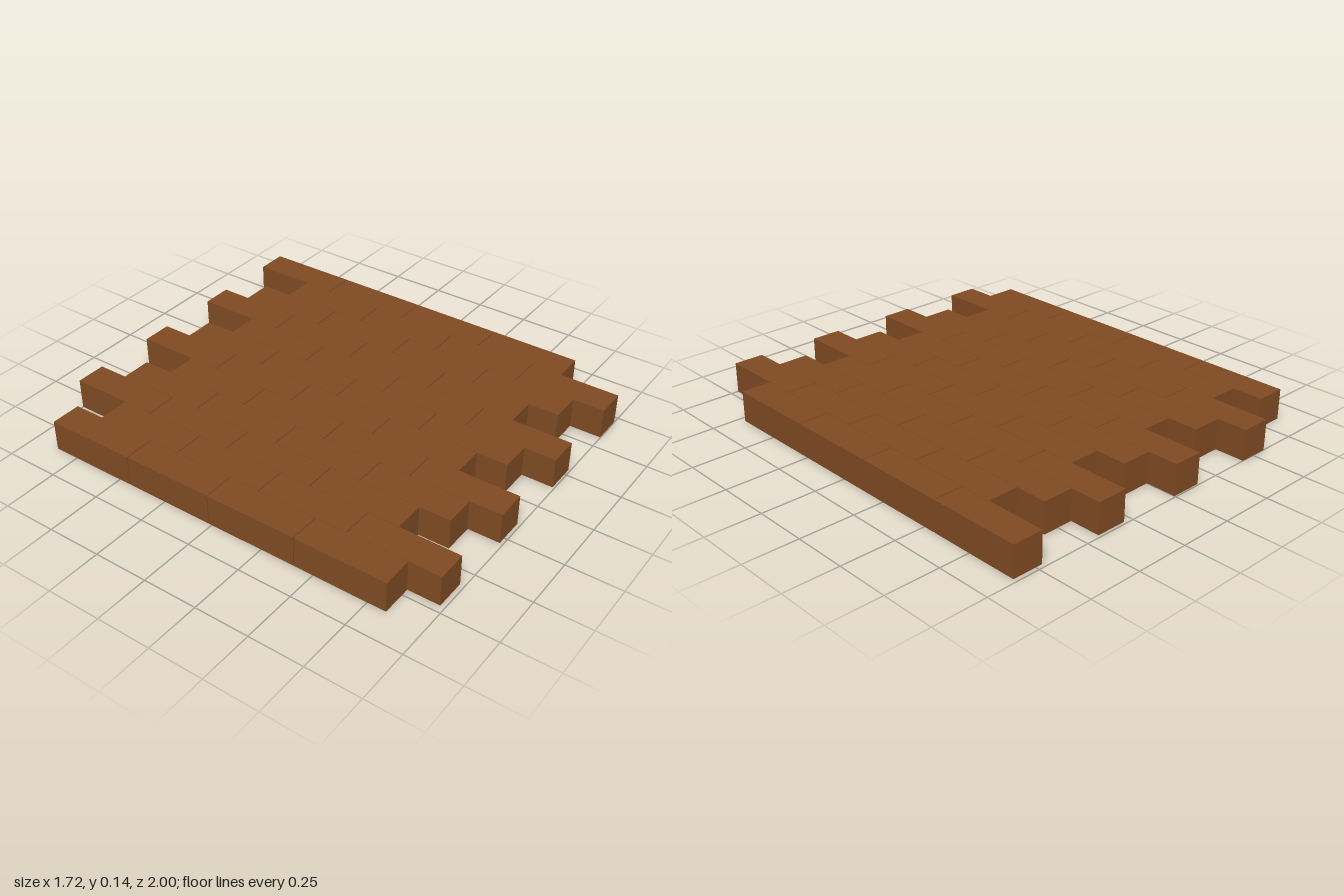
import * as THREE from 'three';

export function createModel() {
  const group = new THREE.Group();
  group.name = 'plankFloor';
  const wood = new THREE.MeshStandardMaterial({ color: 0x7f4b23 });
  wood.name = 'brown wood';

  const columns = 12, rows = 4;
  const width = 0.1416, height = 0.142, length = 0.422;
  const pitchX = 0.1433, pitchZ = 0.4256;
  const starts = [-0.865, -0.722, -1.004]; // back ends, repeating every three columns
  const drift = 0.00205; // slight shift per column
  const block = new THREE.BoxGeometry(width, height, length);

  // staggered columns of identical blocks
  for (let c = 0; c < columns; c++) {
    const column = new THREE.Group();
    column.name = `plankColumn${c + 1}`;
    column.position.x = (c - (columns - 1) / 2) * pitchX;
    for (let r = 0; r < rows; r++) {
      const plank = new THREE.Mesh(block, wood);
      plank.name = `plank${r + 1}`;
      plank.position.set(0, height / 2, starts[c % 3] + drift * c + length / 2 + r * pitchZ);
      column.add(plank);
    }
    group.add(column);
  }
  return group;
}
